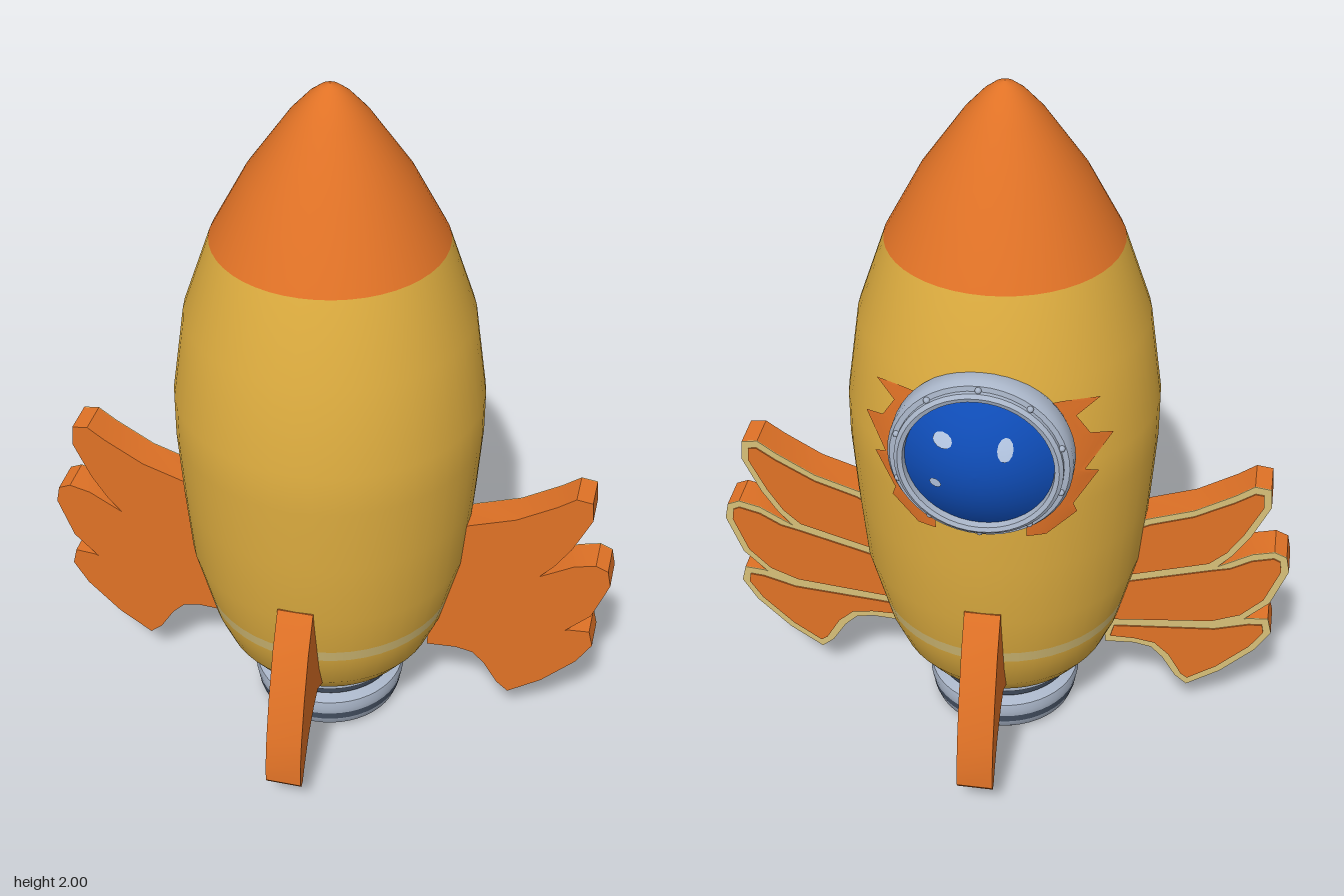
import * as THREE from 'three';
import { toCreasedNormals } from 'three/addons/utils/BufferGeometryUtils.js';

const paint = (name, color) => Object.assign(new THREE.MeshStandardMaterial({ color }), { name });

export function createModel() {
  const gold = paint('gold', 0xdfae40);
  const orange = paint('orange', 0xe07226);
  const cream = paint('cream', 0xd8c078);
  const steel = paint('steel', 0xaab6c9);
  const darkSteel = paint('darkSteel', 0x465264);
  const blue = paint('blue', 0x0f4db8);
  const glint = paint('glint', 0xb8cbe8);

  const model = new THREE.Group();
  const add = (name, geometry, material, parent = model) => {
    const mesh = new THREE.Mesh(geometry, material);
    mesh.name = name;
    parent.add(mesh);
    return mesh;
  };
  const lathe = (pts, crease = 0) => {
    const g = new THREE.LatheGeometry(pts.map(([x, y]) => new THREE.Vector2(x, y)), 48);
    return crease ? toCreasedNormals(g, crease) : g;
  };
  const plate = (pts, depth, z) => {
    const shape = new THREE.Shape(pts.map(([x, y]) => new THREE.Vector2(x, y)));
    const g = new THREE.ExtrudeGeometry(shape, { depth, bevelEnabled: false });
    return toCreasedNormals(g.translate(0, 0, z), 0.5);
  };

  // Hull profile as [radius, height], cut into coloured slices
  const hull = [[0.22, 0.2], [0.26, 0.215], [0.305, 0.275], [0.34, 0.36], [0.36, 0.44], [0.395, 0.58],
    [0.412, 0.78], [0.425, 0.98], [0.425, 1.1], [0.39, 1.35], [0.315, 1.57], [0.22, 1.75],
    [0.105, 1.915], [0.055, 1.97], [0.025, 1.993], [0, 2]];
  const radiusAt = (y) => {
    const i = Math.max(1, hull.findIndex((p) => p[1] >= y));
    const [a, b] = [hull[i - 1], hull[i]];
    return a[0] + (b[0] - a[0]) * (y - a[1]) / (b[1] - a[1]);
  };
  const slice = (y0, y1) => lathe([[radiusAt(y0), y0],
    ...hull.filter((p) => p[1] > y0 + 0.001 && p[1] < y1 - 0.001), [radiusAt(y1), y1]]);
  add('hullBase', lathe([[0, 0.2], [0.22, 0.2]]), gold);
  add('lowerHull', slice(0.2, 0.4), gold);
  add('hullStripe', slice(0.4, 0.44), cream);
  add('upperHull', slice(0.44, 1.57), gold);
  add('noseCone', slice(1.57, 2), orange);

  // Ringed nozzle with a hollow end
  add('nozzleCavity', lathe([[0, 0.14], [0.12, 0.14], [0.155, 0.01], [0.165, 0], [0.19, 0]], 0.6), darkSteel);
  add('nozzleLip', lathe([[0.19, 0], [0.205, 0.015], [0.214, 0.04]]), steel);
  add('nozzleLowerBand', lathe([[0.214, 0.04], [0.218, 0.065]]), darkSteel);
  add('nozzleRing', lathe([[0.218, 0.065], [0.222, 0.085], [0.218, 0.108], [0.185, 0.122], [0.198, 0.13]], 0.6), steel);
  add('nozzleUpperBand', lathe([[0.198, 0.13], [0.203, 0.15]]), darkSteel);
  add('nozzleCollar', lathe([[0.203, 0.15], [0.213, 0.16], [0.213, 0.205]], 0.6), steel);

  // Feathered side wings, with outlined feathers on the back face
  const wing = [[0.3, 0.66], [0.41, 0.72], [0.54, 0.765], [0.65, 0.83], [0.7, 0.866], [0.745, 0.86], [0.75, 0.8],
    [0.7, 0.69], [0.655, 0.62], [0.615, 0.575], [0.65, 0.595], [0.71, 0.63], [0.77, 0.645], [0.805, 0.63],
    [0.815, 0.58], [0.77, 0.46], [0.7, 0.39], [0.635, 0.36], [0.71, 0.395], [0.77, 0.4], [0.782, 0.35],
    [0.74, 0.28], [0.645, 0.185], [0.55, 0.12], [0.515, 0.15], [0.475, 0.215], [0.44, 0.25], [0.39, 0.26],
    [0.305, 0.255], [0.305, 0.285], [0.25, 0.3]];
  const feathers = [
    [[0.34, 0.66], [0.42, 0.703], [0.54, 0.745], [0.65, 0.807], [0.703, 0.843], [0.727, 0.84], [0.73, 0.8],
      [0.682, 0.7], [0.638, 0.63], [0.59, 0.585], [0.36, 0.515]],
    [[0.36, 0.49], [0.6, 0.56], [0.65, 0.573], [0.71, 0.608], [0.77, 0.624], [0.788, 0.615], [0.793, 0.58],
      [0.752, 0.472], [0.69, 0.408], [0.61, 0.375], [0.33, 0.345]],
    [[0.33, 0.32], [0.62, 0.345], [0.715, 0.374], [0.755, 0.378], [0.76, 0.35], [0.723, 0.292], [0.633, 0.203],
      [0.552, 0.147], [0.533, 0.16], [0.493, 0.23], [0.45, 0.27], [0.39, 0.28], [0.32, 0.28]],
  ];
  // Scorch marks beside the porthole as [x, y], wrapped onto the hull
  const scorch = [[0.17, 0.905], [0.245, 0.96], [0.235, 0.99], [0.295, 1.07], [0.262, 1.09], [0.325, 1.165],
    [0.27, 1.19], [0.29, 1.28], [0.235, 1.25], [0.2, 1.3]];
  for (const s of [1, -1]) {
    const side = s > 0 ? 'left' : 'right';
    const mirror = (pts) => pts.map(([x, y]) => [s * x, y]);
    add(side + 'Wing', plate(mirror(wing), 0.1, -0.05), orange);
    add(side + 'WingOutline', plate(mirror(wing), 0.003, -0.053), cream);
    feathers.forEach((f, i) => add(side + 'Feather' + (i + 1), plate(mirror(f), 0.004, -0.057), orange));

    const steps = 8, pos = [], index = [];
    const rows = [...scorch].sort((a, b) => a[1] - b[1]);
    rows.forEach(([edge, y], r) => {
      for (let i = 0; i <= steps; i++) {
        const x = 0.12 + (edge - 0.12) * i / steps;
        pos.push(s * x, y, -Math.sqrt((radiusAt(y) + 0.005) ** 2 - x * x));
        if (r && i) {
          const d = r * (steps + 1) + i, c = d - 1, b = d - steps - 1, a = b - 1;
          index.push(...(s > 0 ? [a, d, b, a, c, d] : [a, b, d, a, d, c]));
        }
      }
    });
    const g = new THREE.BufferGeometry();
    g.setAttribute('position', new THREE.Float32BufferAttribute(pos, 3));
    g.setIndex(index);
    g.computeVertexNormals();
    add(side + 'ScorchMark', g, orange);
  }

  // Curved front and back fins
  const fin = [[0.3, 0.6], [0.4, 0.615], [0.455, 0.515], [0.505, 0.385], [0.54, 0.26], [0.555, 0.17], [0.556, 0.115],
    [0.545, 0.1], [0.53, 0.105], [0.505, 0.15], [0.46, 0.215], [0.4, 0.27], [0.35, 0.297], [0.3, 0.27], [0.25, 0.3]];
  for (const s of [1, -1]) {
    add(s > 0 ? 'frontFin' : 'backFin', plate(fin, 0.1, -0.05), orange).rotation.y = -s * Math.PI / 2;
  }

  // Porthole on the back; its local y points outward
  const porthole = new THREE.Group();
  porthole.name = 'porthole';
  porthole.position.y = 1.145;
  porthole.rotation.x = -Math.PI / 2;
  model.add(porthole);
  add('portholeRim', lathe([[0.225, 0.28], [0.23, 0.345], [0.24, 0.37], [0.24, 0.415], [0.232, 0.428], [0.218, 0.43],
    [0.218, 0.442], [0.208, 0.45], [0.196, 0.446], [0.192, 0.42]], 0.7), steel, porthole);
  const domeHeight = (r) => 0.425 + 0.073 * (1 - (r / 0.196) ** 2);
  const dome = [];
  for (let i = 0; i <= 10; i++) {
    const r = 0.196 * (1 - i / 10);
    dome.push([r, domeHeight(r)]);
  }
  add('portholeGlass', lathe(dome), blue, porthole);
  for (let i = 0; i < 10; i++) {
    const a = (i + 0.5) * Math.PI / 5;
    add('rivet' + (i + 1), new THREE.SphereGeometry(0.009, 8, 6), steel, porthole)
      .position.set(0.222 * Math.cos(a), 0.432, 0.222 * Math.sin(a));
  }
  // Glints: x, up, half width, half height
  [[0.085, 0.09, 0.026, 0.021], [-0.075, 0.08, 0.02, 0.032], [0.105, -0.04, 0.016, 0.014]].forEach(([x, up, w, h], i) => {
    const g = new THREE.CircleGeometry(1, 12).scale(w, h, 1).rotateX(-Math.PI / 2).translate(x, 0, up);
    const p = g.attributes.position;
    for (let k = 0; k < p.count; k++) p.setY(k, domeHeight(Math.hypot(p.getX(k), p.getZ(k))) + 0.003);
    g.computeVertexNormals();
    add('glint' + (i + 1), g, glint, porthole);
  });

  return model;
}
